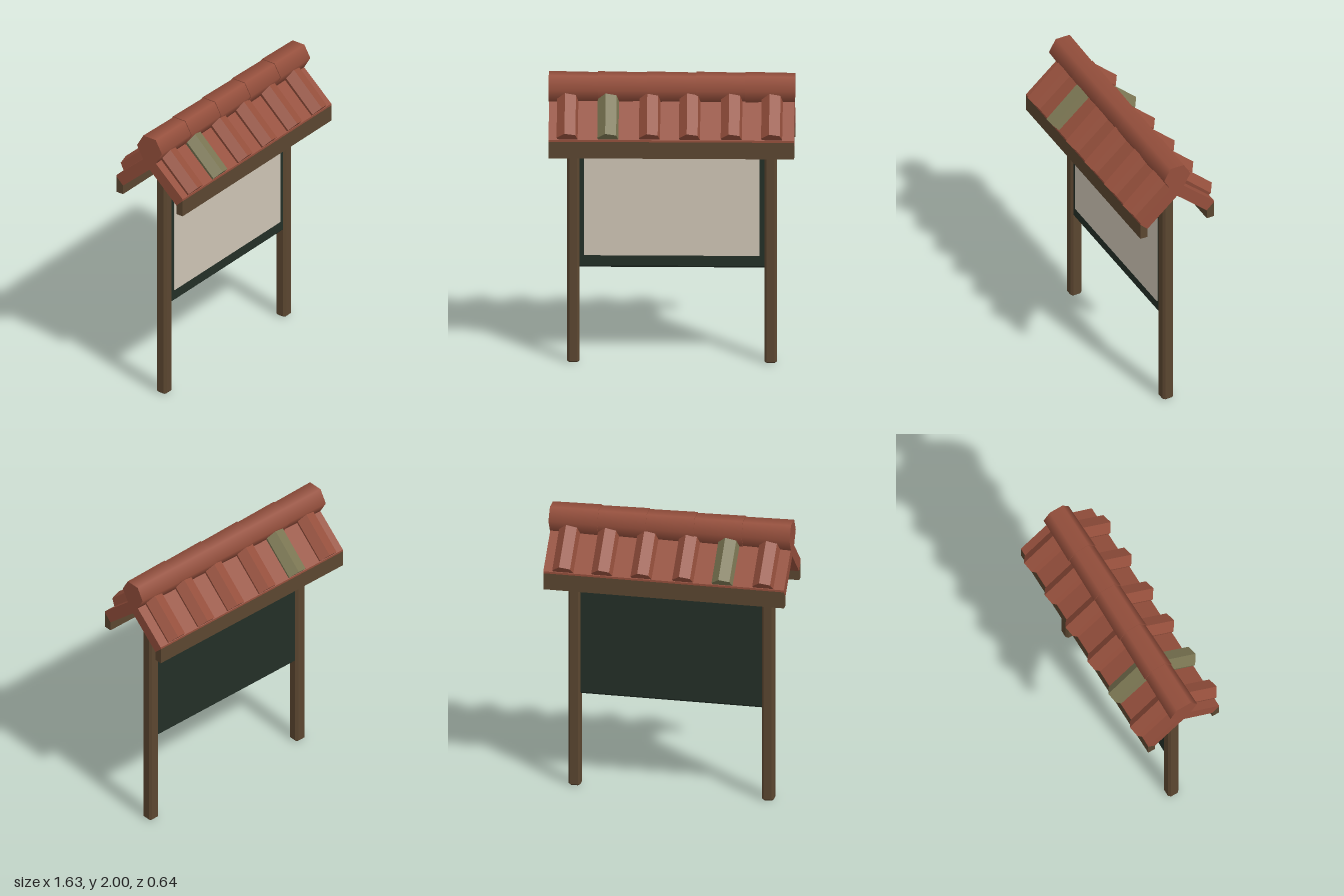
import * as THREE from 'three';

const material = (name, color) => {
  const m = new THREE.MeshStandardMaterial({ color });
  m.name = name;
  return m;
};

// Extrudes a polygon and centres it along its depth
function prism(points, depth, bevel = 0) {
  const shape = new THREE.Shape(points.map(([x, y]) => new THREE.Vector2(x, y)));
  const geometry = new THREE.ExtrudeGeometry(shape, {
    depth: depth - 2 * bevel,
    bevelEnabled: bevel > 0,
    bevelThickness: bevel,
    bevelSize: bevel,
    bevelOffset: -bevel,
    bevelSegments: 1,
  });
  return geometry.translate(0, 0, bevel - depth / 2);
}

export function createModel() {
  const clay = material('terracotta', 0x954f3c);
  const moss = material('mossy tile', 0x7a7552);
  const wood = material('brown wood', 0x5b4630);
  const green = material('dark green board', 0x232f27);
  const cream = material('cream paper', 0xcdc4b4);

  const model = new THREE.Group();
  model.name = 'noticeBoard';
  const add = (parent, name, geometry, mat, x = 0, y = 0, z = 0) => {
    const mesh = new THREE.Mesh(geometry, mat);
    mesh.name = name;
    mesh.position.set(x, y, z);
    parent.add(mesh);
    return mesh;
  };

  // Chamfered posts
  const h = 0.041, c = 0.026;
  const octagon = [[h, -c], [h, c], [c, h], [-c, h], [-h, c], [-h, -c], [-c, -h], [c, -h]];
  const postGeometry = prism(octagon, 1.675, 0.012).rotateX(-Math.PI / 2);
  for (const side of [-1, 1]) {
    add(model, side > 0 ? 'leftPost' : 'rightPost', postGeometry, wood, side * 0.655, 0.8375, 0);
  }

  // Board with chamfered long edges, and the paper on its front
  const boardProfile = [[-0.013, 0.66], [0.013, 0.66], [0.025, 0.673], [0.025, 1.557],
    [0.013, 1.57], [-0.013, 1.57], [-0.025, 1.557], [-0.025, 0.673]];
  add(model, 'board', prism(boardProfile, 1.25).rotateY(Math.PI / 2), green);
  add(model, 'paper', new THREE.BoxGeometry(1.165, 0.795, 0.006), cream, 0, 1.1425, 0.027);

  // Gabled roof slab
  const roofProfile = [[0.222, 1.56], [0.275, 1.61], [0.275, 1.624], [0, 1.866],
    [-0.275, 1.624], [-0.275, 1.61], [-0.222, 1.56], [0, 1.757]];
  add(model, 'roofSlab', prism(roofProfile, 1.63).rotateY(Math.PI / 2), clay);

  // Six-sided cover tile: rolled a little, then laid on the slope
  const tileGeometry = new THREE.CylinderGeometry(0.075, 0.075, 0.33, 6)
    .translate(0, 0.165, 0)
    .rotateY(THREE.MathUtils.degToRad(-15))
    .rotateX(THREE.MathUtils.degToRad(-47.5))
    .toNonIndexed();
  tileGeometry.computeVertexNormals();

  // Fascia board and row of tiles for each slope
  const fasciaProfile = [[-0.275, 1.495], [-0.222, 1.495], [-0.222, 1.56], [-0.275, 1.61]];
  const fasciaGeometry = prism(fasciaProfile, 1.63).rotateY(Math.PI / 2);
  const slopes = [
    ['frontSlope', 0, [-0.689, -0.419, -0.143, 0.122, 0.4, 0.668]],
    ['backSlope', Math.PI, [0.675, 0.399, 0.132, -0.15, -0.416, -0.68]],
  ];
  for (const [name, turn, positions] of slopes) {
    const slope = new THREE.Group();
    slope.name = name;
    slope.rotation.y = turn;
    add(slope, 'fascia', fasciaGeometry, wood);
    positions.forEach((x, i) => {
      add(slope, i === 1 ? 'mossyTile' : 'coverTile', tileGeometry, i === 1 ? moss : clay, x, 1.627, 0.272);
    });
    model.add(slope);
  }

  // Tapered, overlapping ridge tiles
  const ridgeGeometry = new THREE.CylinderGeometry(0.104, 0.098, 0.33, 6).rotateZ(Math.PI / 2);
  for (let i = 0; i < 5; i++) {
    add(model, 'ridgeTile', ridgeGeometry, clay, (i - 2) * 0.326, 1.91, 0);
  }

  return model;
}
